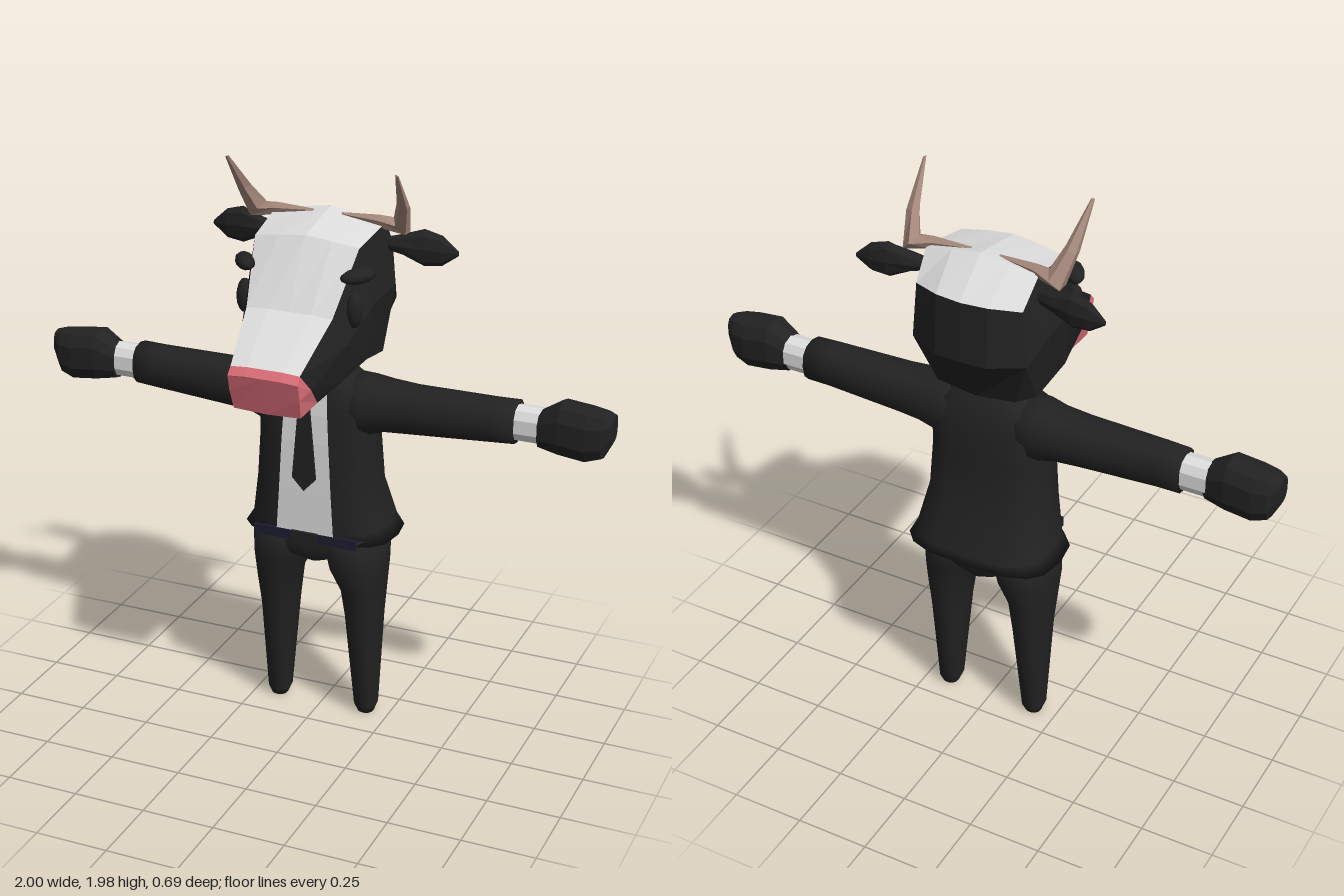
import * as THREE from 'three';

const mat = (name, color) => Object.assign(new THREE.MeshStandardMaterial({ color }), { name });

// Flat-faced geometry from a list of polygons (each an array of [x, y, z])
function facets(polys) {
  const pos = [];
  for (const p of polys)
    for (let i = 1; i < p.length - 1; i++) pos.push(...p[0], ...p[i], ...p[i + 1]);
  const g = new THREE.BufferGeometry();
  g.setAttribute('position', new THREE.Float32BufferAttribute(pos, 3));
  g.computeVertexNormals();
  return g;
}

// Capped skin over rings of equal point count; winding is fixed by signed volume
function loft(rings, smooth = true) {
  const n = rings[0].length, pts = rings.flat(), idx = [];
  const mean = r => [0, 1, 2].map(k => r.reduce((s, p) => s + p[k], 0) / n);
  for (let i = 0; i < rings.length - 1; i++)
    for (let j = 0; j < n; j++) {
      const a = i * n + j, b = i * n + (j + 1) % n;
      idx.push(a, b, b + n, a, b + n, a + n);
    }
  const last = (rings.length - 1) * n, c0 = pts.length;
  pts.push(mean(rings[0]), mean(rings[rings.length - 1]));
  for (let j = 0; j < n; j++) {
    const k = (j + 1) % n;
    idx.push(c0, k, j, c0 + 1, last + j, last + k);
  }
  const o = new THREE.Vector3(...pts[c0]);
  const v = pts.map(p => new THREE.Vector3(...p).sub(o));
  let vol = 0;
  for (let i = 0; i < idx.length; i += 3)
    vol += v[idx[i]].dot(v[idx[i + 1]].clone().cross(v[idx[i + 2]]));
  if (vol < 0) idx.reverse();
  let g = new THREE.BufferGeometry();
  g.setAttribute('position', new THREE.Float32BufferAttribute(pts.flat(), 3));
  g.setIndex(idx);
  if (!smooth) g = g.toNonIndexed();
  g.computeVertexNormals();
  return g;
}

// Rounded-square ring values; power 1 is an ellipse, lower is boxier
function oval(n, ru, rv, power) {
  const f = t => Math.sign(t) * Math.abs(t) ** power;
  return Array.from({ length: n }, (_, i) => {
    const a = i / n * Math.PI * 2;
    return [f(Math.cos(a)) * ru, f(Math.sin(a)) * rv];
  });
}
// Rings stacked along y: [y, cx, rx, cz, rz]
const upright = (rows, n, power = 1, s = 1) => rows.map(([y, cx, rx, cz, rz]) =>
  oval(n, rx, rz, power).map(([u, v]) => [s * cx + u, y, cz + v]));
// Rings along x: [x, cy, ry, cz, rz]
const sideways = (rows, n, power = 1, s = 1) => rows.map(([x, cy, ry, cz, rz]) =>
  oval(n, ry, rz, power).map(([u, v]) => [s * x, cy + u, cz + v]));

export function createModel() {
  const model = new THREE.Group();
  const black = mat('black', 0x222222), white = mat('white', 0xdedede);
  const pink = mat('pink', 0xdc6e78), horn = mat('horn', 0xa3877a), navy = mat('navy', 0x1d1d30);
  const add = (name, geo, material) => {
    const m = new THREE.Mesh(geo, material);
    m.name = name;
    model.add(m);
    return m;
  };

  // Head: half stations from muzzle to back; columns run top centre to underside
  const st = [
    [[0, 1.39, .345], [.06, 1.39, .345], [.12, 1.385, .343], [.12, 1.33, .33], [.115, 1.265, .31], [0, 1.26, .31]],
    [[0, 1.415, .325], [.06, 1.415, .325], [.118, 1.41, .323], [.132, 1.345, .265], [.12, 1.275, .19], [0, 1.24, .225]],
    [[0, 1.545, .14], [.075, 1.545, .14], [.148, 1.54, .138], [.185, 1.45, .1], [.16, 1.315, .08], [0, 1.28, .08]],
    [[0, 1.76, .01], [.09, 1.75, .008], [.18, 1.735, 0], [.222, 1.55, -.03], [.2, 1.36, -.02], [0, 1.3, -.03]],
    [[0, 1.8, -.2], [.1, 1.785, -.2], [.195, 1.77, -.19], [.235, 1.57, -.18], [.19, 1.33, -.19], [0, 1.285, -.2]],
    [[0, 1.69, -.33], [.09, 1.69, -.32], [.185, 1.68, -.275], [.2, 1.49, -.28], [.14, 1.32, -.235], [0, 1.3, -.235]],
  ];
  const skin = { black: [], white: [], pink: [] };
  const put = (key, poly) => skin[key].push(poly, poly.map(([x, y, z]) => [-x, y, z]).reverse());
  for (let i = 0; i < 5; i++)
    for (let k = 0; k < 5; k++)
      put(i === 0 ? 'pink' : k < 2 || k === 4 ? 'white' : 'black',
        [st[i][k], st[i][k + 1], st[i + 1][k + 1], st[i + 1][k]]);
  put('pink', [...st[0]].reverse());
  const [t, m, e, side, jaw, under] = st[5], mid = [0, 1.485, -.34], midSide = [.09, 1.485, -.335];
  put('black', [t, m, midSide, mid]);
  put('black', [m, e, side, midSide]);
  put('black', [midSide, side, jaw, under]);
  put('black', [mid, midSide, under]);
  add('headSides', facets(skin.black), black);
  add('headBlaze', facets(skin.white), white);
  add('muzzle', facets(skin.pink), pink);

  for (const s of [1, -1]) {
    const label = s > 0 ? 'left' : 'right';
    // Ears, eyes and brows
    add(label + 'Ear', loft(sideways([[.19, 1.7, .02, -.19, .02], [.25, 1.7, .035, -.2, .03],
      [.32, 1.695, .062, -.21, .03], [.38, 1.69, .05, -.215, .022], [.432, 1.685, .008, -.22, .006]], 8, 1, s), false), black);
    const eye = add(label + 'Eye', new THREE.SphereGeometry(1, 10, 8), black);
    eye.scale.set(.028, .058, .028);
    eye.position.set(s * .19, 1.55, .06);
    const brow = add(label + 'Brow', new THREE.SphereGeometry(1, 10, 8), black);
    brow.scale.set(.032, .025, .065);
    brow.position.set(s * .195, 1.66, .045);
    brow.rotation.y = -s * .6;

    // Horns: out along the crown, then sweeping up and forward
    const path = [[.05, 1.785, -.17, .006], [.18, 1.775, -.175, .022], [.25, 1.765, -.185, .038],
      [.275, 1.85, -.13, .024], [.29, 1.975, -.03, .006]];
    const tilt = [0, .1, .8, 1.2, 1.2];
    add(label + 'Horn', loft(path.map(([x, y, z, r], i) => oval(5, r, r, 1).map(([u, v]) => [
      s * (x - u * Math.sin(tilt[i])), y + u * Math.cos(tilt[i]), z + v])), false), horn);

    // Sleeves, cuffs and hands
    add(label + 'Sleeve', loft(sideways([[.08, 1.17, .1, -.12, .105], [.18, 1.165, .1, -.12, .105],
      [.24, 1.17, .085, -.125, .095], [.33, 1.17, .08, -.125, .085], [.6, 1.178, .073, -.13, .07],
      [.68, 1.18, .072, -.135, .066]], 12, .85, s)), black);
    add(label + 'Cuff', loft(sideways([[.66, 1.18, .06, -.135, .05], [.775, 1.18, .06, -.135, .05]], 10, .8, s), false), white);
    add(label + 'Hand', loft(sideways([[.76, 1.175, .062, -.13, .053], [.83, 1.19, .092, -.13, .07],
      [.92, 1.18, .092, -.13, .072], [.97, 1.185, .08, -.13, .06], [1, 1.21, .045, -.13, .035]], 10, .75, s), false), black);

    // Trouser legs
    add(label + 'Leg', loft(upright([[0, .165, .028, -.145, .032], [.03, .164, .04, -.145, .046],
      [.38, .157, .061, -.14, .09], [.5, .155, .072, -.135, .112], [.58, .138, .096, -.132, .13],
      [.71, .125, .112, -.135, .138]], 14, .85, s)), black);
  }

  // Hips joining the legs
  add('hips', loft(upright([[.59, 0, .04, -.15, .1], [.62, 0, .14, -.14, .13],
    [.72, 0, .235, -.145, .15]], 16, .8)), black);

  // Jacket with flared hem
  add('jacket', loft(upright([[.69, 0, .268, -.16, .17], [.73, 0, .238, -.16, .17],
    [.88, 0, .212, -.125, .135], [1.05, 0, .2, -.12, .13], [1.15, 0, .205, -.12, .125],
    [1.23, 0, .18, -.115, .11], [1.275, 0, .12, -.115, .085], [1.295, 0, .075, -.115, .065]], 16, .65)), black);
  add('neck', loft(upright([[1.25, 0, .072, -.115, .068], [1.34, 0, .068, -.115, .065]], 10), false), white);

  // Shirt front between the jacket edges: [y, half width, z]
  const shirt = [[.72, .103, .017], [.88, .093, .017], [1.05, .084, .016], [1.15, .078, .012],
    [1.23, .072, .002], [1.275, .065, -.024]];
  const strips = [];
  for (let i = 0; i < shirt.length - 1; i++) {
    const [y0, w0, z0] = shirt[i], [y1, w1, z1] = shirt[i + 1];
    strips.push([[-w0, y0, z0], [w0, y0, z0], [w1, y1, z1], [-w1, y1, z1]]);
  }
  add('shirtFront', facets(strips), white);

  // Tie, belt and buckle as thin plates
  const plate = (name, pts, z, material) => {
    const g = new THREE.ExtrudeGeometry(new THREE.Shape(pts.map(p => new THREE.Vector2(...p))),
      { depth: .009, bevelEnabled: false });
    add(name, g, material).position.z = z;
  };
  plate('tie', [[0, .88], [.042, .925], [.018, 1.2], [.028, 1.25], [-.028, 1.25], [-.018, 1.2], [-.042, .925]], .018, black);
  plate('belt', [[-.185, .69], [.185, .69], [.185, .725], [-.185, .725]], .011, navy);
  plate('buckle', [[-.045, .68], [.045, .68], [.045, .728], [-.045, .728]], .018, black);
  return model;
}
